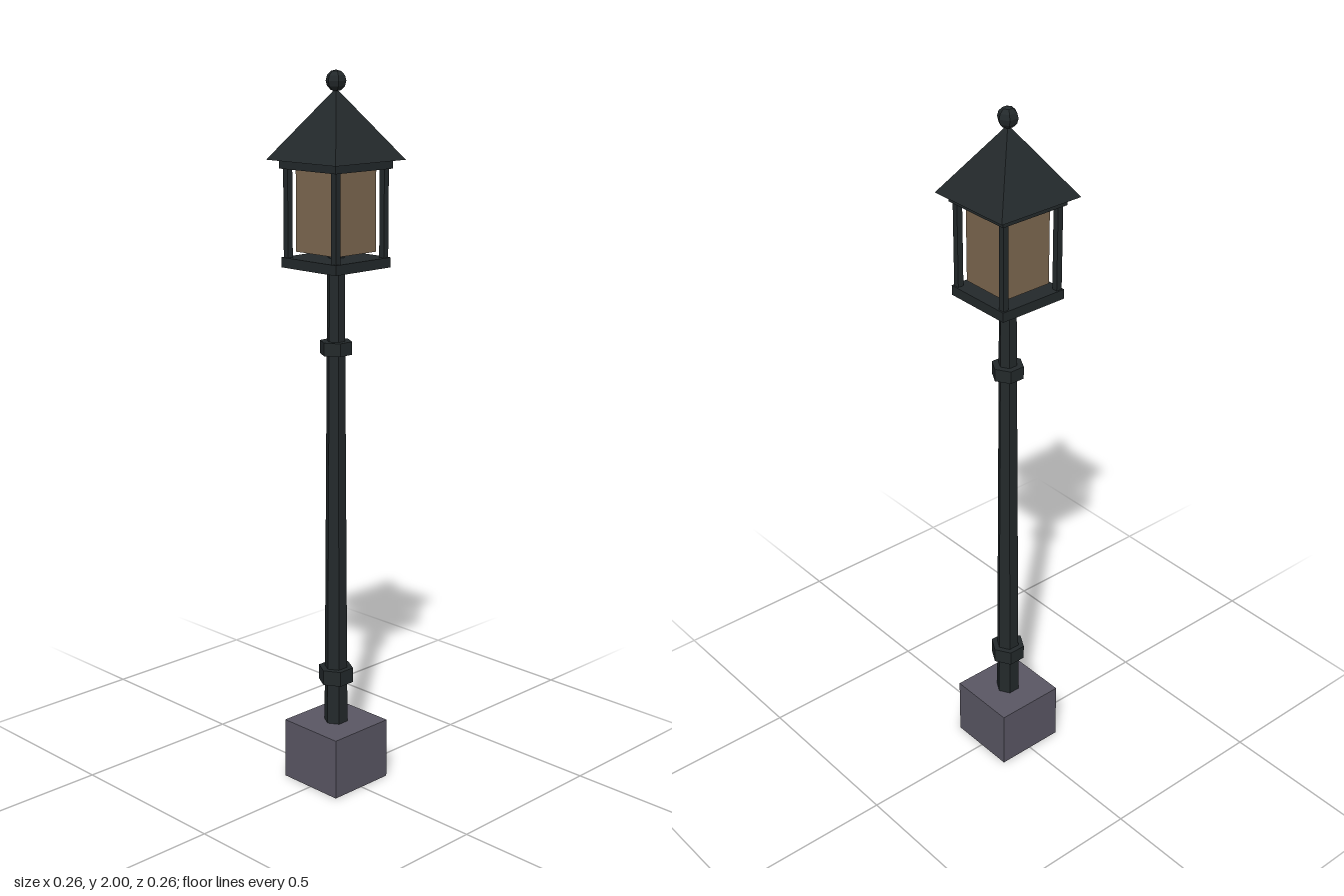
import * as THREE from 'three';

export function createModel() {
  const model = new THREE.Group();
  model.name = 'streetLamp';

  const paint = (color) => new THREE.MeshStandardMaterial({ color, flatShading: true });
  const iron = paint(0x23292b);
  const stone = paint(0x5a5764);
  const glass = paint(0x7d6850);

  const add = (name, geometry, material, x, y, z, parent = model) => {
    const mesh = new THREE.Mesh(geometry, material);
    mesh.name = name;
    mesh.position.set(x, y, z);
    parent.add(mesh);
    return mesh;
  };
  // Square slab and hexagonal drum, both placed by bottom and top height
  const slab = (name, width, y0, y1, material, x = 0, z = 0, parent = model) =>
    add(name, new THREE.BoxGeometry(width, y1 - y0, width), material, x, (y0 + y1) / 2, z, parent);
  const drum = (name, rBottom, rTop, y0, y1) =>
    add(name, new THREE.CylinderGeometry(rTop, rBottom, y1 - y0, 6), iron, 0, (y0 + y1) / 2, 0);

  // Plinth, tapered pole and its collars
  slab('plinth', 0.206, 0, 0.175, stone);
  drum('pole', 0.034, 0.024, 0.175, 1.526);
  drum('lowerCollar', 0.05, 0.05, 0.297, 0.34);
  drum('upperCollar', 0.045, 0.045, 1.247, 1.283);

  // Lantern: floor, glass, corner posts and top frame
  const lantern = new THREE.Group();
  lantern.name = 'lantern';
  model.add(lantern);
  slab('lanternFloor', 0.206, 1.483, 1.51, iron, 0, 0, lantern);
  slab('lanternGlass', 0.15, 1.525, 1.745, glass, 0, 0, lantern);
  for (const x of [-0.09, 0.09]) {
    for (const z of [-0.09, 0.09]) slab('cornerPost', 0.017, 1.51, 1.745, iron, x, z, lantern);
  }
  slab('topFrame', 0.212, 1.745, 1.77, iron, 0, 0, lantern);

  // Pyramid roof with a faceted ball finial
  const roof = new THREE.ConeGeometry(0.13 * Math.SQRT2, 0.185, 4).rotateY(Math.PI / 4);
  add('roof', roof, iron, 0, 1.8605, 0, lantern);
  const ball = new THREE.SphereGeometry(0.028, 6, 6).rotateY(Math.PI / 6);
  add('finial', ball, iron, 0, 1.972, 0, lantern);

  return model;
}
